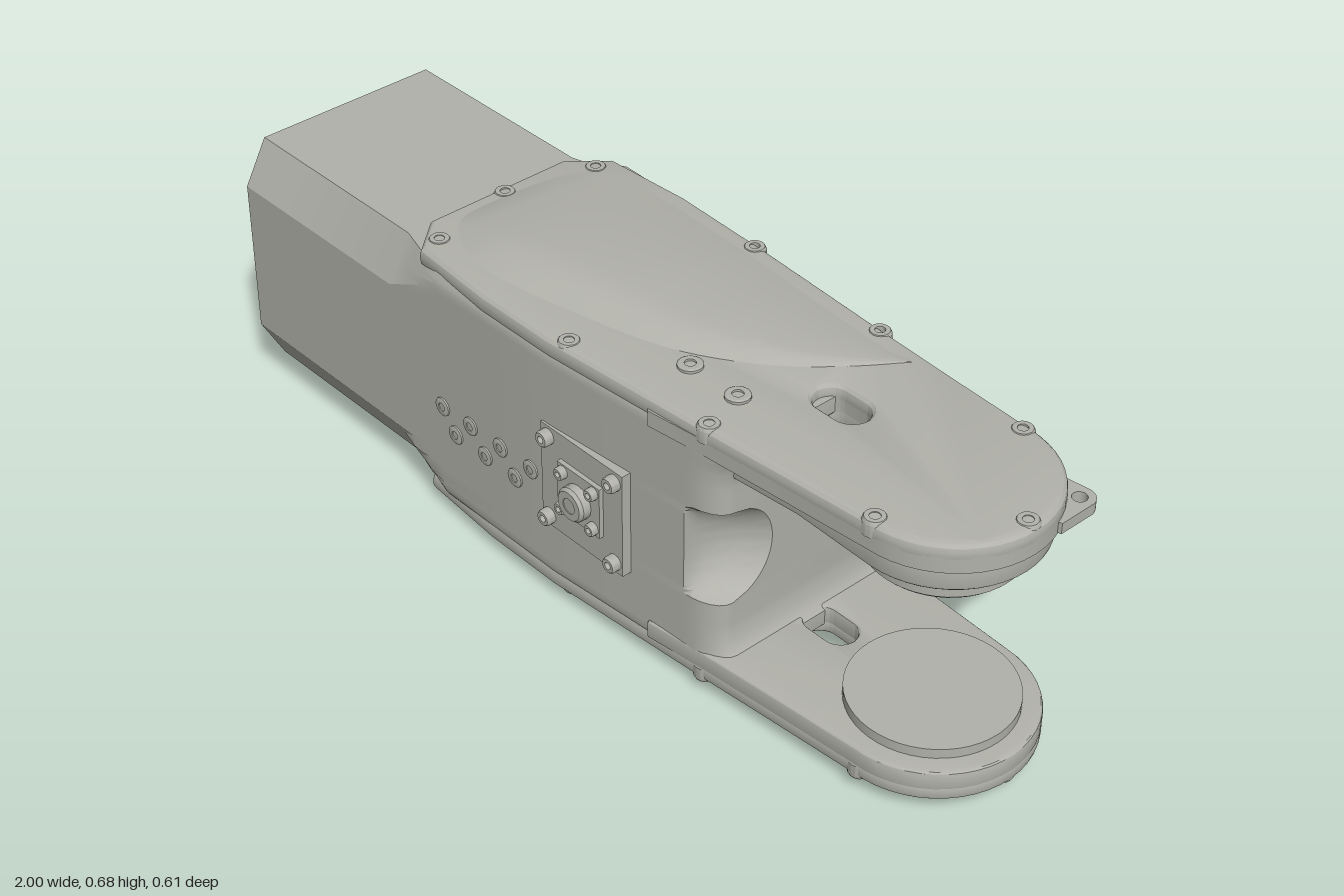
import * as THREE from 'three';
import { toCreasedNormals } from 'three/addons/utils/BufferGeometryUtils.js';

const metal = new THREE.MeshStandardMaterial({ color: 0xb2b2ab });
metal.name = 'warm grey';

const MID = 0.34, BOTTOM = 0.062, TOP = 0.62;
const CX = 0.79, CZ = -0.008, NOSE = 0.21; // fork tip centre and radius

// Piecewise linear lookup
function lerpTable(table, x) {
  if (x <= table[0][0]) return table[0][1];
  for (let i = 1; i < table.length; i++) {
    const [x0, v0] = table[i - 1], [x1, v1] = table[i];
    if (x <= x1) return v0 + (v1 - v0) * (x - x0) / (x1 - x0);
  }
  return table[table.length - 1][1];
}
const frontZ = x => lerpTable([[-1, 0.265], [0, 0.265], [0.4, 0.235], [0.8, 0.2]], x);
const backZ = x => lerpTable([[-0.35, -0.28], [0.05, -0.262], [0.4, -0.238], [0.8, -0.216]], x);

function add(parent, name, geometry, x = 0, y = 0, z = 0) {
  const mesh = new THREE.Mesh(geometry, metal);
  mesh.name = name;
  mesh.position.set(x, y, z);
  parent.add(mesh);
  return mesh;
}

function indexed(points, index) {
  const g = new THREE.BufferGeometry();
  g.setAttribute('position', new THREE.Float32BufferAttribute(points, 3));
  g.setIndex(index);
  return toCreasedNormals(g, 0.45);
}

// Plan outline of a fork arm or cover, with the slot cut through it
function planPlate(x0, inset, y0, y1, bevel) {
  const pts = [[x0, 0.17 - inset], [x0 + 0.07, 0.25 - inset]];
  for (const x of [-0.2, 0, 0.2, 0.4, 0.6]) if (x > x0 + 0.08) pts.push([x, frontZ(x) - inset]);
  for (let i = 0; i <= 24; i++) {
    const a = Math.PI * (0.5 - i / 24);
    pts.push([CX + (NOSE - inset * 0.4) * Math.cos(a), CZ + (NOSE - inset * 0.4) * Math.sin(a)]);
  }
  for (const x of [0.6, 0.4, 0.2, 0.05, -0.2]) if (x > x0 + 0.08) pts.push([x, backZ(x) + inset]);
  pts.push([x0 + 0.07, -0.262 + inset], [x0, -0.18 + inset]);
  const shape = new THREE.Shape(pts.map(([x, z]) => new THREE.Vector2(x, -z)));
  const slot = new THREE.Path();
  slot.absarc(0.541, 0.01, 0.037, -Math.PI / 2, Math.PI / 2);
  slot.absarc(0.491, 0.01, 0.037, Math.PI / 2, Math.PI * 1.5);
  shape.holes.push(slot);
  const g = new THREE.ExtrudeGeometry(shape, {
    depth: y1 - y0 - 2 * bevel, bevelEnabled: bevel > 0, bevelThickness: bevel,
    bevelSize: bevel, bevelOffset: -bevel, bevelSegments: 3, curveSegments: 12,
  });
  g.rotateX(-Math.PI / 2).translate(0, y0 + bevel, 0);
  return toCreasedNormals(g, 0.5);
}

// Housing: stacked plan outlines, chamfered at the rear, scooped at the fork corners
function housing() {
  const levels = [0, 0.01, 0.02, 0.035, 0.05, 0.075, 0.1].flatMap(d => [BOTTOM + d, TOP - d]);
  for (let i = 1; i < 36; i++) levels.push(0.16 + 0.36 * i / 36);
  levels.sort((a, b) => a - b);
  const stations = [-0.9, -0.5, -0.45, -0.4, -0.35, -0.15, 0, 0.2, 0.36];
  const pts = [];
  let n = 0;
  for (const y of levels) {
    const d = Math.min(y - BOTTOM, TOP - y);
    const rear = x => lerpTable([[-0.5, 1], [-0.35, 0]], x);
    const inset = x => (0.01 + 0.045 * rear(x)) * Math.max(0, 1 - d / (0.015 + 0.085 * rear(x)));
    const r = Math.min(1, Math.max(0, (d - 0.04) / 0.08));
    const endX = 0.47 - 0.025 * Math.sqrt(1 - (1 - r) ** 2);
    const k = Math.sqrt(Math.max(0, 1 - ((y - MID) / 0.108) ** 2));
    const corner = (t, edge, s) => {
      const a = t * Math.PI / 2;
      const x = 0.36 + (endX - 0.36) * ((1 - k) * Math.sin(a) + k * t * t);
      const z = edge - s * (0.05 + 0.1 * k) * ((1 - k) * (1 - Math.cos(a)) + k * t);
      return [x, y, z];
    };
    const loop = stations.map(x => [x, y, backZ(x) + inset(x)]);
    const steps = [1 / 6, 2 / 6, 3 / 6, 4 / 6, 5 / 6, 1];
    steps.forEach(t => loop.push(corner(t, backZ(0.36) + inset(0.36), -1)));
    [...steps].reverse().forEach(t => loop.push(corner(t, frontZ(0.36) - inset(0.36), 1)));
    [...stations].reverse().forEach(x => loop.push([x, y, frontZ(x) - inset(x)]));
    n = loop.length;
    pts.push(...loop.flat());
  }
  const index = [], last = (levels.length - 1) * n, c = levels.length * n;
  pts.push(-0.2, BOTTOM, 0, -0.2, TOP, 0);
  for (let j = 0; j < n; j++) {
    const j1 = (j + 1) % n;
    for (let i = 0; i < levels.length - 1; i++) {
      const a = i * n + j, b = i * n + j1;
      index.push(a, a + n, b, b, a + n, b + n);
    }
    index.push(c, j, j1, c + 1, last + j1, last + j);
  }
  return indexed(pts, index);
}

// Rear collar with its round socket
function rearCollar() {
  const s = new THREE.Shape([
    [-0.265, BOTTOM + 0.1], [-0.21, BOTTOM], [0.225, BOTTOM], [0.28, BOTTOM + 0.1],
    [0.28, TOP - 0.1], [0.225, TOP], [-0.21, TOP], [-0.265, TOP - 0.1],
  ].map(p => new THREE.Vector2(...p)));
  s.holes.push(new THREE.Path().absarc(0.008, MID, 0.14, 0, Math.PI * 2));
  const g = new THREE.ExtrudeGeometry(s, { depth: 0.1, bevelEnabled: false, curveSegments: 32 });
  return toCreasedNormals(g.rotateY(Math.PI / 2).translate(-1, 0, 0), 0.5);
}

// Swept bulge on the cover, bounded by a curved edge
function coverBulge() {
  const height = [[-0.46, 0.002], [-0.4, 0.02], [-0.3, 0.033], [-0.2, 0.039], [-0.1, 0.04], [0, 0.039],
    [0.2, 0.03], [0.35, 0.02], [0.52, 0.006]];
  const edge = new THREE.CatmullRomCurve3([[-0.46, 0.15], [-0.3, 0.21], [0, 0.17], [0.2, 0.11], [0.35, 0.01],
    [0.45, -0.1], [0.52, -0.205]].map(([x, z]) => new THREE.Vector3(x, 0, z)));
  const pts = [], index = [], nx = 32, nt = 18;
  for (let i = 0; i <= nx; i++) {
    const { x, z: z1 } = edge.getPoint(i / nx);
    const z0 = Math.max(backZ(x) + 0.015, -0.2 - (x + 0.46) * 0.8);
    for (let j = 0; j <= nt; j++) {
      const t = j / nt;
      const f = t < 0.75 ? 1 - (1 - t / 0.75) ** 2 : 1 - ((t - 0.75) / 0.25) ** 2;
      pts.push(x, 0.64 + lerpTable(height, x) * f, z0 + (z1 - z0) * t);
      if (i < nx && j < nt) {
        const a = i * (nt + 1) + j, b = a + nt + 1;
        index.push(a, a + 1, b, b, a + 1, b + 1);
      }
    }
  }
  return indexed(pts, index);
}

// Round-headed bolt with a recessed socket, pointing up
function boltGeometry(r, h) {
  const profile = [[r, 0], [r, h * 0.8], [r * 0.85, h], [r * 0.45, h], [r * 0.45, h * 0.6], [0, h * 0.6]];
  return toCreasedNormals(new THREE.LatheGeometry(profile.map(p => new THREE.Vector2(...p)), 16), 0.5);
}

function cover(name) {
  const g = new THREE.Group();
  g.name = name;
  add(g, 'coverPlate', planPlate(-0.48, 0, 0.6, 0.646, 0.016));
  add(g, 'coverBulge', coverBulge());
  const bolt = boltGeometry(0.024, 0.034);
  for (const [x, z] of [[-0.46, -0.01], [-0.41, 0.2], [-0.41, -0.212], [0.03, 0.235], [0.03, -0.25],
    [0.4, 0.215], [0.4, -0.228], [0.79, 0.182], [0.79, -0.2], [0.974, -0.01]]) add(g, 'coverBolt', bolt, x, 0.614, z);
  const small = boltGeometry(0.026, 0.012);
  for (const x of [0.245, 0.375]) add(g, 'insetBolt', small, x, 0.642, 0.12);
  return g;
}

export function createModel() {
  const model = new THREE.Group();
  model.name = 'forkedArmLink';
  add(model, 'housing', housing());
  add(model, 'rearCollar', rearCollar());

  // Covers, the lower one mirrored
  model.add(cover('topCover'));
  const lower = cover('bottomCover');
  lower.scale.y = -1;
  lower.position.y = 2 * MID;
  model.add(lower);

  // Fork arms and their bearing bosses
  add(model, 'upperArm', planPlate(0.2, 0, 0.585, TOP, 0));
  add(model, 'upperArmCore', planPlate(0.2, 0.035, 0.53, 0.6, 0.012));
  add(model, 'lowerArm', planPlate(0.2, 0, BOTTOM, 0.108, 0.008));
  const disc = (r, h, c) => toCreasedNormals(new THREE.LatheGeometry(
    [[0, 0], [r - c, 0], [r, c], [r, h], [0, h]].map(p => new THREE.Vector2(...p)), 48), 0.5);
  add(model, 'upperBossNeck', disc(0.14, 0.03, 0.001), CX, 0.515, CZ);
  add(model, 'upperBoss', disc(0.154, 0.046, 0.008), CX, 0.476, CZ);
  add(model, 'lowerBoss', disc(0.17, 0.03, 0.001), CX, 0.1, CZ);

  // Pierced ear on the upper fork tip
  const ear = new THREE.Shape();
  ear.moveTo(0.88, 0.05).lineTo(0.995, 0.08).lineTo(0.995, 0.16);
  ear.absarc(0.965, 0.16, 0.03, 0, Math.PI / 2).lineTo(0.88, 0.18);
  ear.holes.push(new THREE.Path().absarc(0.965, 0.16, 0.015, 0, Math.PI * 2));
  const earGeo = new THREE.ExtrudeGeometry(ear, { depth: 0.024, bevelEnabled: false });
  add(model, 'tipEar', earGeo.rotateX(-Math.PI / 2), 0, 0.588, 0);

  // Front connector panel
  const panel = new THREE.Group();
  panel.name = 'connectorPanel';
  model.add(panel);
  const forward = (name, geo, x, y, z) => { add(panel, name, geo, x, y, z).rotation.x = Math.PI / 2; };
  add(panel, 'panelPlate', new THREE.BoxGeometry(0.24, 0.245, 0.03), 0.1, 0.322, 0.255);
  add(panel, 'panelInset', new THREE.BoxGeometry(0.125, 0.12, 0.02), 0.102, 0.326, 0.27);
  for (const sx of [-1, 1]) for (const sy of [-1, 1]) {
    forward('panelBolt', boltGeometry(0.018, 0.024), 0.1 + sx * 0.098, 0.322 + sy * 0.098, 0.266);
    forward('insetBolt', boltGeometry(0.014, 0.018), 0.102 + sx * 0.045, 0.326 + sy * 0.043, 0.277);
  }
  forward('plug', boltGeometry(0.038, 0.035).clone(), 0.102, 0.323, 0.27);
  forward('plugFace', new THREE.CylinderGeometry(0.03, 0.03, 0.03, 24), 0.102, 0.323, 0.288);

  // Two rows of small bolts beside the panel
  [-0.34, -0.25, -0.155, -0.06, -0.3, -0.205, -0.11].forEach((x, i) =>
    forward('sideBolt', boltGeometry(0.021, 0.006), x, i < 4 ? 0.3 : 0.25, 0.264));

  // Cable clips on the back
  for (const x of [-0.963, -0.46]) {
    add(model, 'clipBase', new THREE.BoxGeometry(0.074, 0.085, 0.016), x, 0.342, -0.279);
    for (const y of [0.315, 0.37]) {
      const bar = new THREE.CapsuleGeometry(0.013, 0.012, 4, 12);
      add(model, 'clipBar', bar.scale(1, 1.9, 1), x, y, -0.292).rotation.z = Math.PI / 2;
    }
  }
  return model;
}
